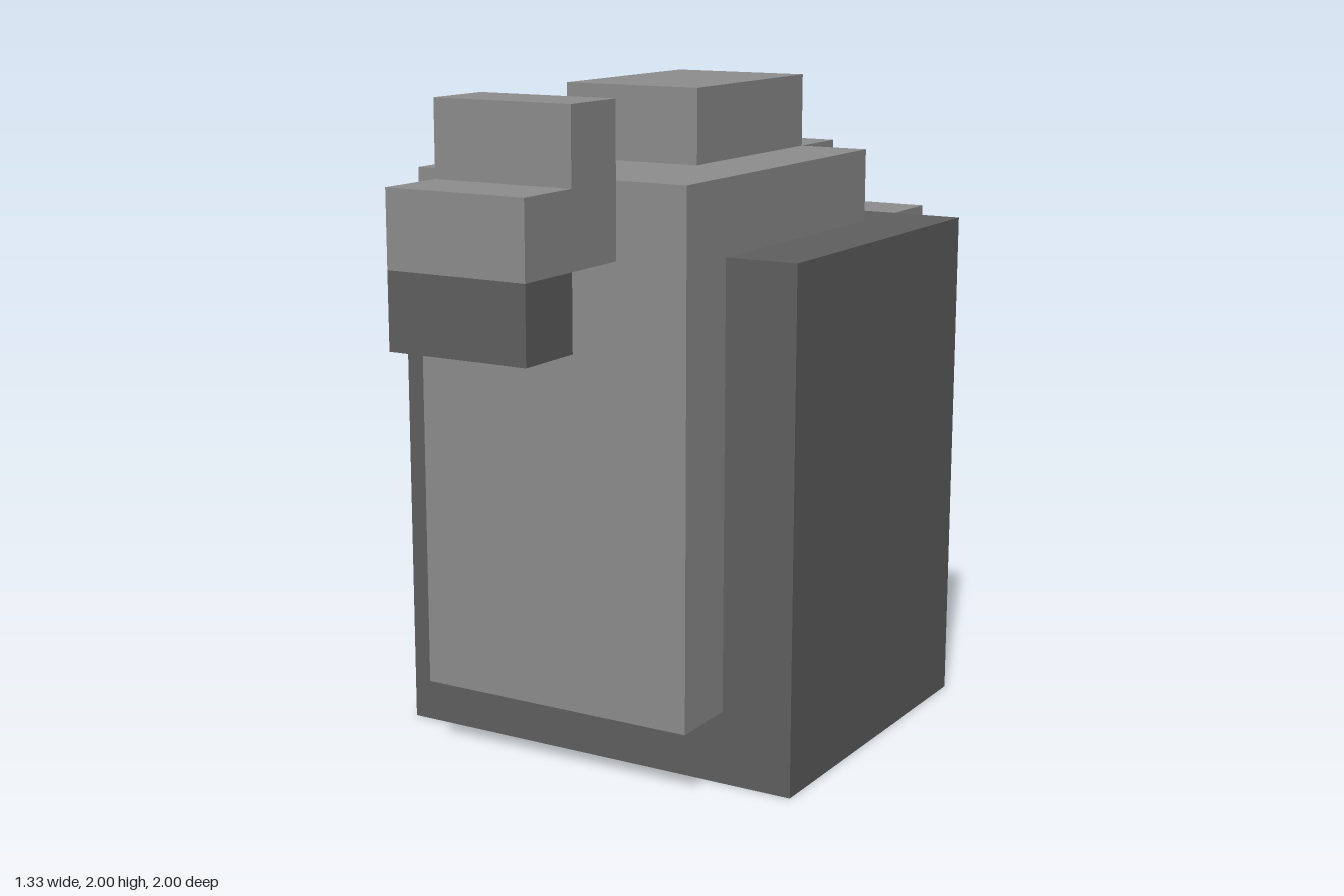
import * as THREE from 'three';

// One block of the modelling grid
const U = 2 / 9;

export function createModel() {
  const model = new THREE.Group();
  model.name = 'blockyCreature';

  const material = (name, color) => {
    const m = new THREE.MeshStandardMaterial({ color });
    m.name = name;
    return m;
  };
  const lightGrey = material('lightGrey', 0x8d8d8d);
  const darkGrey = material('darkGrey', 0x5f5f5f);
  const red = material('red', 0xca2c2e);

  // Box centred on x = 0, given half width and y / z ranges in blocks
  const block = (name, mat, halfWidth, [y0, y1], [z0, z1]) => {
    const geometry = new THREE.BoxGeometry(2 * halfWidth * U, (y1 - y0) * U, (z1 - z0) * U);
    const mesh = new THREE.Mesh(geometry, mat);
    mesh.name = name;
    mesh.position.set(0, (y0 + y1) / 2 * U, (z0 + z1) / 2 * U);
    model.add(mesh);
  };

  // Dark core with light plates on the front, top and back
  block('body', darkGrey, 3, [0, 7], [-3.5, 1.5]);
  block('frontPlate', lightGrey, 2, [1, 8], [1.5, 2.5]);
  block('topPlate', lightGrey, 2, [7, 8], [-2.5, 1.5]);
  block('topRearStep', lightGrey, 1, [7, 8], [-3.5, -2.5]);
  block('topRidge', lightGrey, 1, [8, 9], [-2.5, 0.5]);
  block('backPlate', lightGrey, 2, [1, 7], [-4.5, -3.5]);

  // Red block under the back plate
  block('rearBlock', red, 1, [0, 1], [-4.5, -3.5]);

  // Stepped snout with a dark tip hanging from it
  block('snoutBase', lightGrey, 1, [7, 9], [2.5, 3.5]);
  block('snoutFront', lightGrey, 1, [7, 8], [3.5, 4.5]);
  block('snoutTip', darkGrey, 1, [6, 7], [3.5, 4.5]);

  return model;
}
